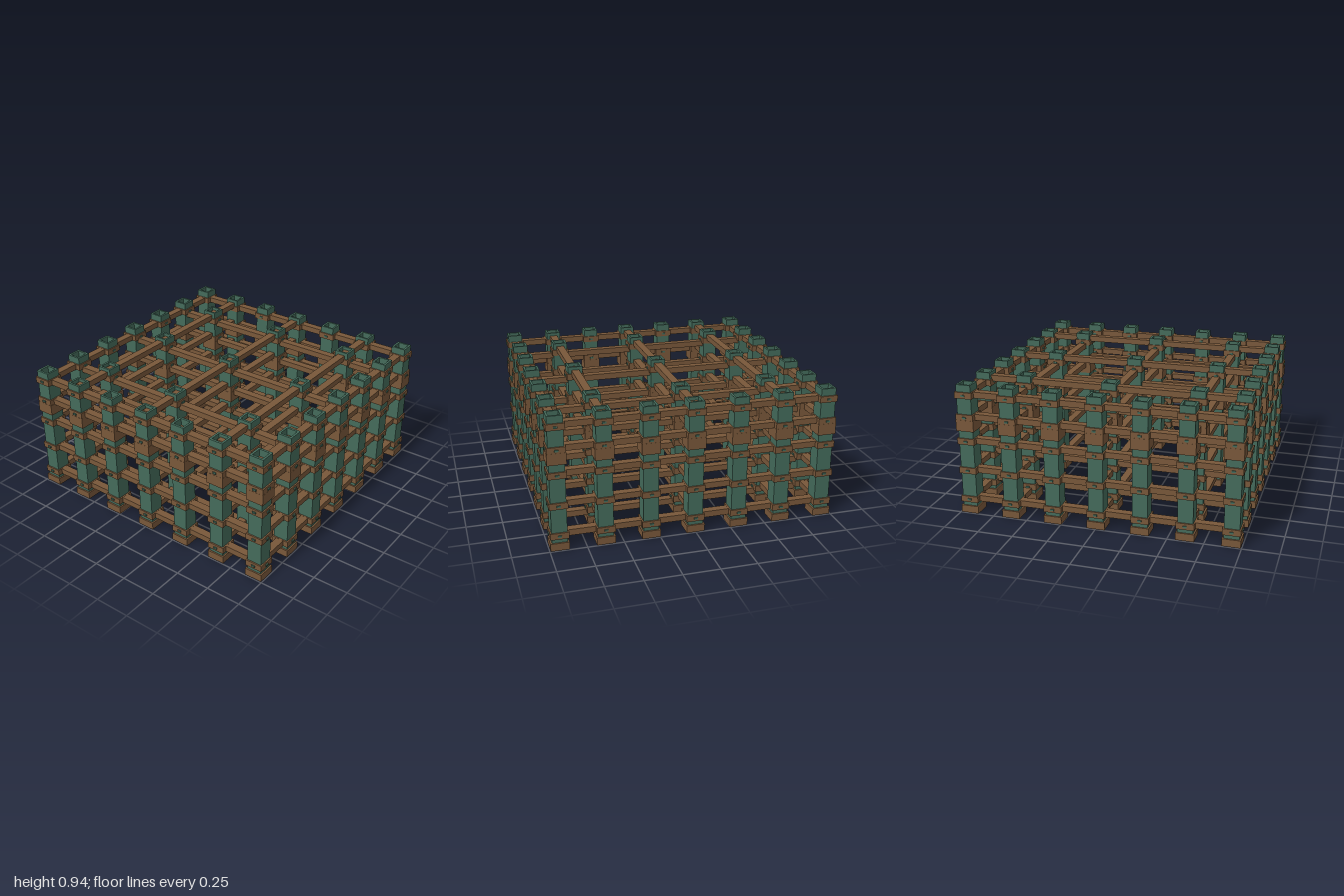
import * as THREE from 'three';

const mat = (name, color) => {
  const m = new THREE.MeshStandardMaterial({ color });
  m.name = name;
  return m;
};

export function createModel() {
  const green = mat('weathered green', 0x446b5b);
  const brown = mat('timber brown', 0x79583a);
  const root = new THREE.Group();
  root.name = 'postAndBeamFrame';

  const outer = 0.93, inner = 0.62;
  const levels = [0.103, 0.319, 0.534, 0.708, 0.867];
  const lines = [-outer, -inner, 0, inner, outer];
  const postTop = 0.94, postBase = 0.05;

  // Hollow square post
  const square = (s, Type) => new Type([[-s, -s], [s, -s], [s, s], [-s, s]].map(p => new THREE.Vector2(...p)));
  const section = square(0.053, THREE.Shape);
  section.holes.push(square(0.038, THREE.Path));
  const postGeo = new THREE.ExtrudeGeometry(section, { depth: postTop - postBase, bevelEnabled: false });
  postGeo.rotateX(-Math.PI / 2);

  const footGeo = new THREE.BoxGeometry(0.128, 0.053, 0.128);
  const sleeveGeo = new THREE.BoxGeometry(0.128, 0.08, 0.128);
  const collarGeo = new THREE.BoxGeometry(0.126, 0.045, 0.126);
  const pegXGeo = new THREE.BoxGeometry(0.14, 0.013, 0.026);
  const pegZGeo = new THREE.BoxGeometry(0.026, 0.013, 0.14);
  const beamXGeo = new THREE.BoxGeometry(2 * outer, 0.043, 0.056);
  const beamZGeo = new THREE.BoxGeometry(0.056, 0.043, 2 * outer);

  const add = (parent, name, geo, material, x, y, z) => {
    const mesh = new THREE.Mesh(geo, material);
    mesh.name = name;
    mesh.position.set(x, y, z);
    parent.add(mesh);
  };

  // One post with its foot, sleeve, collars and pegs
  const addPost = (x, z) => {
    const g = new THREE.Group();
    g.name = 'post';
    g.position.set(x, 0, z);
    add(g, 'shaft', postGeo, green, 0, postBase, 0);
    add(g, 'foot', footGeo, brown, 0, 0.0265, 0);
    add(g, 'sleeve', sleeveGeo, brown, 0, 0.65, 0);
    for (const y of levels) {
      add(g, 'collar', collarGeo, brown, 0, y, 0);
      add(g, 'pegAcross', pegXGeo, green, 0, y, 0);
      add(g, 'pegAlong', pegZGeo, green, 0, y, 0);
    }
    root.add(g);
  };

  // Seven posts per side, nine posts inside
  for (let i = -3; i <= 3; i++) {
    for (let j = -3; j <= 3; j++) {
      const edge = Math.abs(i) === 3 || Math.abs(j) === 3;
      if (edge || (i % 2 === 0 && j % 2 === 0)) addPost(i * 0.31, j * 0.31);
    }
  }

  // Edge beams lie level with the collars; inner beams cross one above the other
  for (const y of levels) {
    for (const p of lines) {
      const shift = Math.abs(p) === outer ? 0 : 0.028;
      add(root, 'crossBeam', beamXGeo, brown, 0, y - shift, p);
      add(root, 'longBeam', beamZGeo, brown, p, y + shift, 0);
    }
  }
  return root;
}
